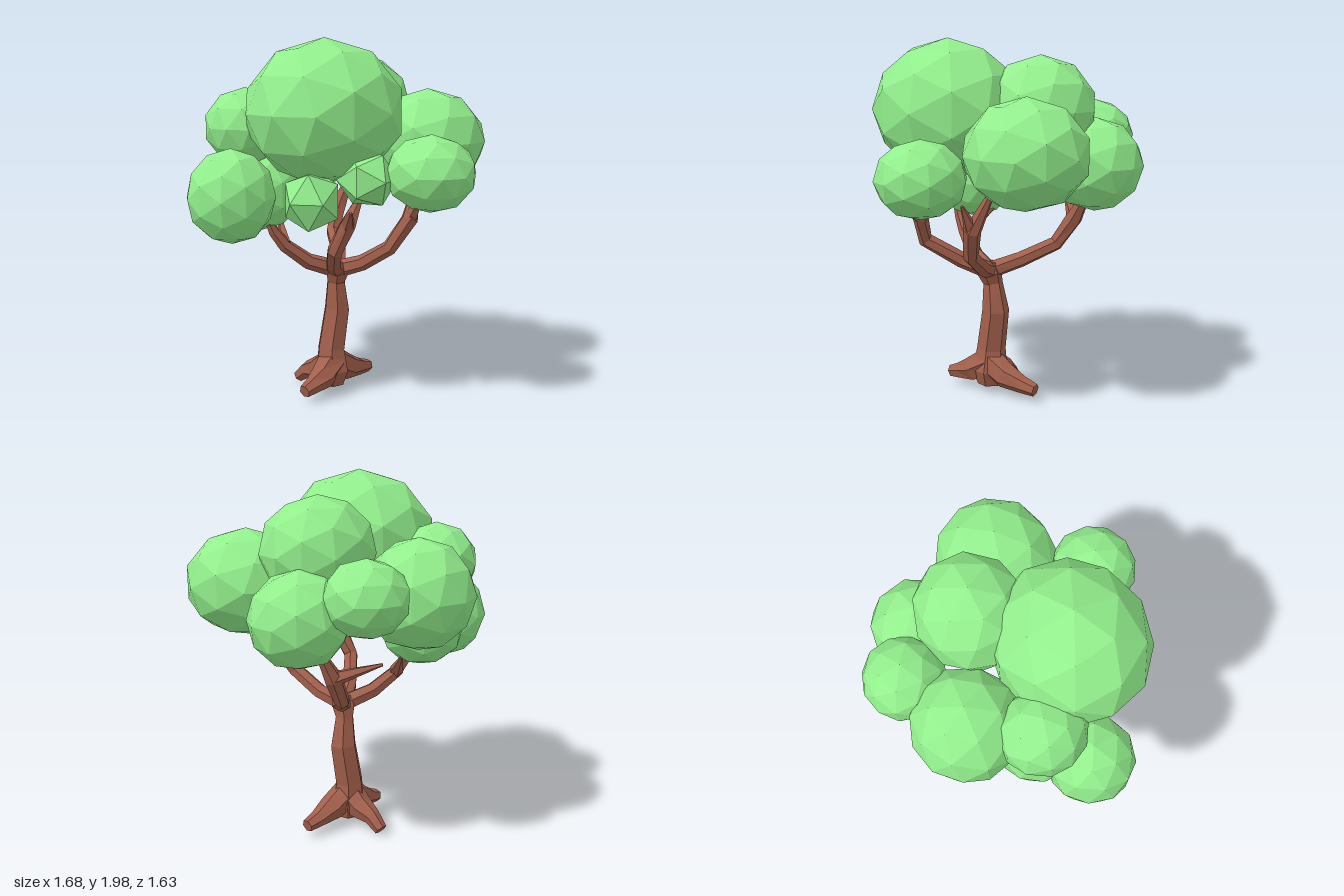
import * as THREE from 'three';

const bark = new THREE.MeshStandardMaterial({ color: 0xa25f4c, flatShading: true });
const leaf = new THREE.MeshStandardMaterial({ color: 0x92ee8c, flatShading: true });

// Tapered limb: rings of `sides` points along a path of [x, y, z, radius], closed at both ends
function limb(name, path, sides = 6) {
  const centres = path.map(([x, y, z]) => new THREE.Vector3(x, y, z));
  const up = new THREE.Vector3(0, 1, 0);
  const pos = [], index = [], last = path.length - 1;
  centres.forEach((c, i) => {
    const before = centres[Math.max(i - 1, 0)], after = centres[Math.min(i + 1, last)];
    const q = new THREE.Quaternion().setFromUnitVectors(up, after.clone().sub(before).normalize());
    for (let k = 0; k < sides; k++) {
      const a = (k / sides) * Math.PI * 2, r = path[i][3];
      const p = new THREE.Vector3(Math.cos(a) * r, 0, Math.sin(a) * r).applyQuaternion(q).add(c);
      pos.push(p.x, p.y, p.z);
    }
  });
  const bottom = pos.length / 3, top = bottom + 1;
  pos.push(...centres[0].toArray(), ...centres[last].toArray());
  for (let k = 0; k < sides; k++) {
    const n = (k + 1) % sides;
    for (let i = 0; i < last; i++) {
      const a = i * sides + k, b = i * sides + n;
      index.push(a, a + sides, b, b, a + sides, b + sides);
    }
    index.push(k, n, bottom, last * sides + n, last * sides + k, top);
  }
  const geo = new THREE.BufferGeometry();
  geo.setAttribute('position', new THREE.Float32BufferAttribute(pos, 3));
  geo.setIndex(index);
  geo.computeVertexNormals();
  const mesh = new THREE.Mesh(geo, bark);
  mesh.name = name;
  return mesh;
}

// Faceted leaf clump with its own turn; the small ones are plain icosahedra
function clump([x, y, z, rx, ry, rz], i) {
  const geo = new THREE.IcosahedronGeometry(1, rx > 0.18 ? 1 : 0).rotateY(i * 1.3 + 0.4);
  const mesh = new THREE.Mesh(geo, leaf);
  mesh.scale.set(rx, ry, rz);
  mesh.position.set(x, y, z);
  mesh.name = 'leafClump' + (i + 1);
  return mesh;
}

export function createModel() {
  const tree = new THREE.Group();
  tree.name = 'tree';

  // Trunk, swelling at the fork
  tree.add(limb('trunk', [
    [0, 0.06, -0.02, 0.07], [0, 0.14, -0.02, 0.1], [0, 0.27, -0.03, 0.082], [0.038, 0.5, -0.03, 0.076],
    [0.025, 0.66, -0.02, 0.054], [0.02, 0.72, 0, 0.07], [0.02, 0.78, 0, 0.045],
  ]));

  // Three spreading roots
  const roots = [[-0.24, 0.085, 0.075], [0.3, 0.085, -0.1], [-0.08, 0.045, -0.26]];
  for (const [x, y, z] of roots) {
    tree.add(limb('root', [
      [0, 0.2, -0.02, 0.085], [x * 0.4, 0.13, z * 0.4, 0.074], [x * 0.75, 0.1, z * 0.75, 0.048], [x, y, z, 0.036],
    ]));
  }

  // Four boughs, each with one side twig
  const boughs = [
    [[0.12, 0.79, -0.14, 0.044], [0.2, 0.87, -0.33, 0.042], [0.28, 1.02, -0.39, 0.048], [0.39, 1.22, -0.41, 0.015]],
    [[-0.15, 0.79, -0.03, 0.044], [-0.28, 0.89, -0.06, 0.038], [-0.34, 0.97, -0.07, 0.032], [-0.39, 1.06, -0.07, 0.015]],
    [[-0.08, 0.79, 0.12, 0.044], [-0.18, 0.91, 0.29, 0.042], [-0.14, 1.05, 0.35, 0.046], [-0.02, 1.2, 0.3, 0.015]],
    [[0.11, 0.78, 0.12, 0.044], [0.19, 0.88, 0.26, 0.042], [0.28, 1.04, 0.32, 0.048], [0.36, 1.22, 0.27, 0.02]],
  ];
  const twigs = [[0.07, 1.1, -0.52], [-0.22, 1.02, -0.22], [-0.2, 1.14, 0.47], [0.3, 1.18, 0.4]];
  boughs.forEach((path, i) => {
    tree.add(limb('bough', [[0.02, 0.73, 0, 0.05], ...path]));
    const [x, y, z] = path[i === 1 ? 1 : 2];
    tree.add(limb('twig', [[x, y, z, 0.042], [...twigs[i], 0.008]], 5));
  });

  // Crown: centre and radii of each clump
  const clumps = [
    [-0.155, 1.62, 0.15, 0.43, 0.38, 0.4],
    [0.51, 1.44, 0.16, 0.33, 0.285, 0.32],
    [0.25, 1.63, -0.16, 0.31, 0.285, 0.29],
    [0.21, 1.32, 0.585, 0.235, 0.2, 0.235],
    [-0.61, 1.19, -0.03, 0.235, 0.25, 0.235],
    [-0.43, 1.53, -0.21, 0.22, 0.21, 0.23],
    [-0.16, 1.425, -0.475, 0.295, 0.29, 0.29],
    [0.455, 1.34, -0.37, 0.26, 0.25, 0.255],
    [0.21, 1.465, -0.6, 0.22, 0.195, 0.215],
    [-0.36, 1.18, -0.19, 0.235, 0.22, 0.23],
    [-0.3, 1.18, 0.26, 0.16, 0.17, 0.16],
    [-0.06, 1.29, 0.41, 0.16, 0.15, 0.16],
  ];
  const crown = new THREE.Group();
  crown.name = 'crown';
  clumps.forEach((c, i) => crown.add(clump(c, i)));
  tree.add(crown);
  return tree;
}
